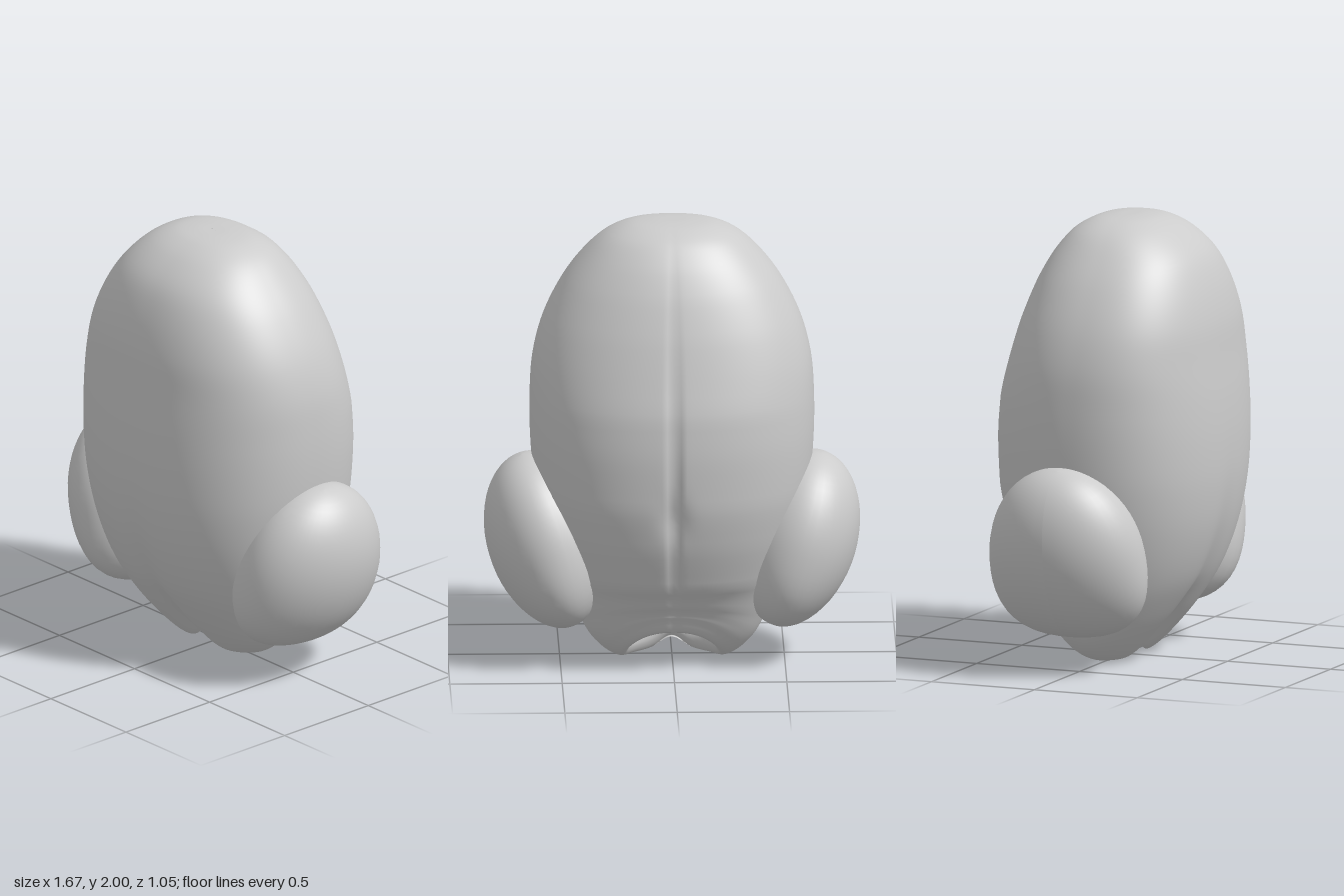
import * as THREE from 'three';

const material = new THREE.MeshStandardMaterial({ color: 0xcccccc, roughness: 0.8 });

// Body sections from the top pole down, round the bottom rim and up into the hollow:
// [half width, height, front z, back z, rim lift]
const sections = [
  [0, 2, 0.03, 0.03, 0], [0.1, 1.998, 0.1, -0.04, 0], [0.2, 1.983, 0.18, -0.12, 0],
  [0.3, 1.935, 0.275, -0.205, 0], [0.4, 1.84, 0.375, -0.285, 0], [0.49, 1.72, 0.435, -0.35, 0],
  [0.575, 1.55, 0.48, -0.415, 0], [0.62, 1.38, 0.498, -0.465, 0], [0.633, 1.2, 0.515, -0.51, 0],
  [0.63, 1, 0.522, -0.525, 0], [0.61, 0.8, 0.512, -0.52, 0], [0.565, 0.6, 0.475, -0.48, 0],
  [0.5, 0.4, 0.4, -0.41, 0], [0.425, 0.22, 0.29, -0.345, 0.3], [0.36, 0.1, 0.19, -0.315, 0.7],
  [0.275, 0.02, 0.105, -0.295, 1], [0.215, 0.005, 0.065, -0.27, 1], [0.19, 0.05, 0.045, -0.255, 0.9],
  [0.2, 0.16, 0.06, -0.25, 0.5], [0.14, 0.28, 0.02, -0.18, 0.2], [0, 0.33, -0.08, -0.08, 0],
];
const curveA = new THREE.CatmullRomCurve3(sections.map(s => new THREE.Vector3(s[0], s[1], s[2])));
const curveB = new THREE.CatmullRomCurve3(sections.map(s => new THREE.Vector3(s[3], s[4], 0)));
const bump = (v, centre, width) => Math.exp(-(((v - centre) / width) ** 2));
const superPow = (v, n) => Math.sign(v) * Math.abs(v) ** (2 / n);

function bodyGeometry() {
  const rows = 100, cols = 200, pos = [], index = [];
  for (let i = 0; i <= rows; i++) {
    const a = curveA.getPoint(i / rows), b = curveB.getPoint(i / rows);
    const mid = (a.z + b.x) / 2, depth = (a.z - b.x) / 2, outside = i / rows < 0.8 ? 1 : 0;
    for (let j = 0; j < cols; j++) {
      const t = (j / cols) * Math.PI * 2, c = Math.cos(t), s = Math.sin(t);
      const x = Math.max(a.x, 0) * superPow(c, 2.3);
      let z = mid + depth * superPow(s, 2.3);
      // the rim slopes up towards the back and has a narrow notch in front
      const lift = z < 0 ? 2.3 * z * z : 0.5 * z * z;
      const notch = s > 0 ? 0.06 * bump(x, 0, 0.07) : 0;
      const y = a.y + b.y * (lift + notch);
      // centre creases: broad and low in front, narrow and long behind
      if (s > 0) z -= outside * 0.03 * bump(x, 0, 0.07) * bump(a.y, 0.2, 0.4);
      else z += outside * (0.03 * bump(x, 0, 0.018) * bump(a.y, 0.85, 0.6)
        + 0.02 * bump(x, 0, 0.06) * bump(a.y, 0.75, 0.09));
      pos.push(x, y, z);
      if (i < rows) {
        const p = i * cols + j, q = i * cols + ((j + 1) % cols);
        index.push(p, q, p + cols, q, q + cols, p + cols);
      }
    }
  }
  const g = new THREE.BufferGeometry();
  g.setAttribute('position', new THREE.Float32BufferAttribute(pos, 3));
  g.setIndex(index);
  g.computeVertexNormals();
  return g;
}

// Plump pod, squarer and broader towards its lower end
function podGeometry() {
  const g = new THREE.SphereGeometry(1, 40, 28), p = g.attributes.position;
  for (let i = 0; i < p.count; i++) {
    const y = p.getY(i), z = p.getZ(i);
    const square = 1 + (y < 0 ? 0.35 : 0.1) * y * y * z * z;
    p.setXYZ(i, p.getX(i) * 0.265, y * 0.4 * square, z * 0.36 * square * (1 - 0.1 * y));
  }
  g.computeVertexNormals();
  return g;
}

export function createModel() {
  const model = new THREE.Group();
  model.name = 'roundedBodyWithPods';

  const body = new THREE.Mesh(bodyGeometry(), material);
  body.name = 'body';
  model.add(body);

  // Side pods lean outward at the top
  const podShape = podGeometry();
  for (const side of [1, -1]) {
    const pod = new THREE.Mesh(podShape, material);
    pod.name = side > 0 ? 'leftPod' : 'rightPod';
    pod.position.set(side * 0.56, 0.55, -0.035);
    pod.rotation.z = -side * 0.28;
    model.add(pod);
  }
  return model;
}
